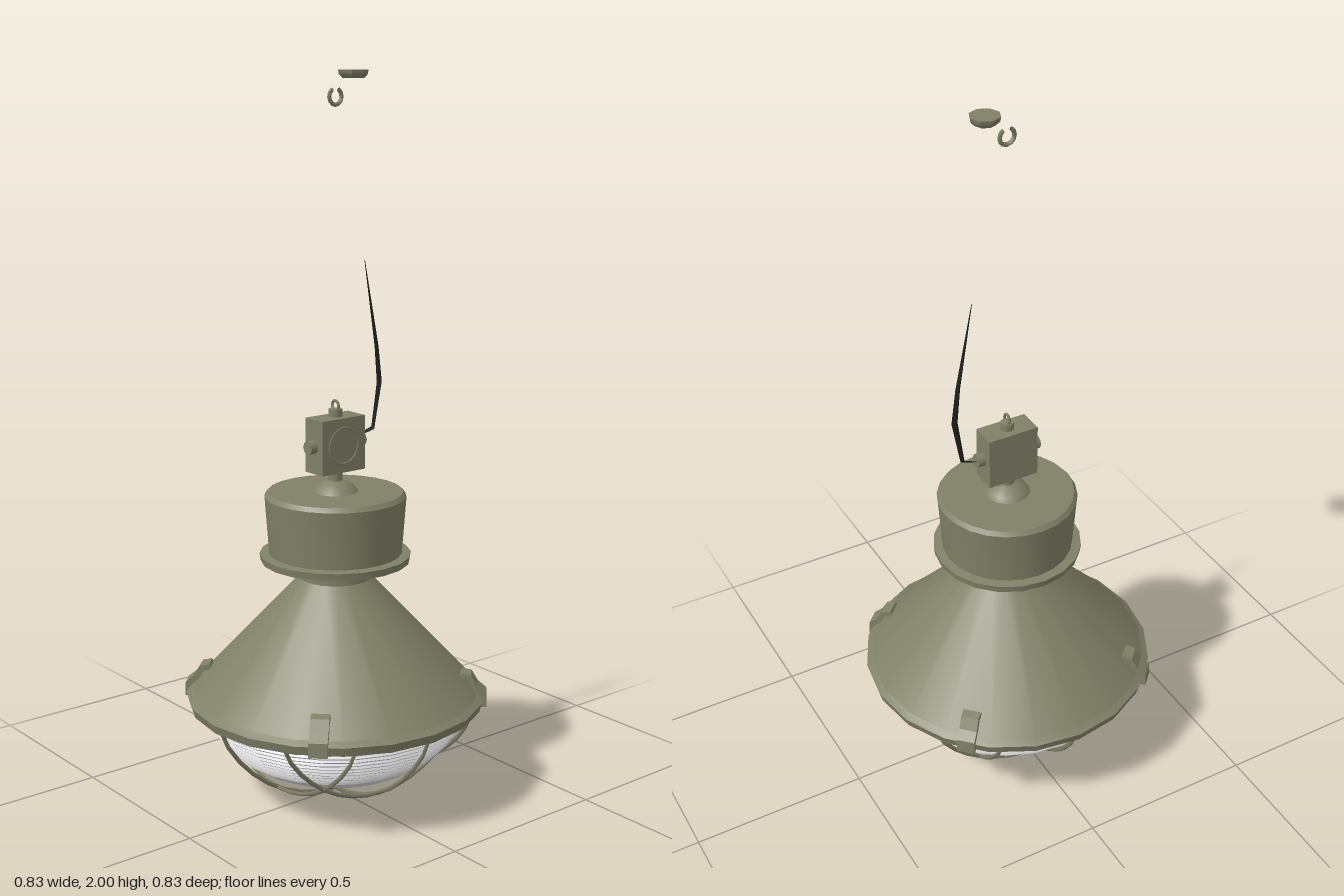
import * as THREE from 'three';
import { toCreasedNormals } from 'three/addons/utils/BufferGeometryUtils.js';

const mat = (name, color, side = THREE.FrontSide) => {
  const m = new THREE.MeshStandardMaterial({ color, side });
  m.name = name;
  return m;
};

export function createModel() {
  const root = new THREE.Group();
  root.name = 'industrialPendantLamp';
  const olive = mat('olive paint', 0x808168, THREE.DoubleSide);
  const glass = mat('pale glass', 0xd8d8da, THREE.DoubleSide);
  const black = mat('black cable', 0x1c1c1a, THREE.DoubleSide);

  const add = (name, geo, material, x = 0, y = 0, z = 0, parent = root) => {
    const mesh = new THREE.Mesh(geo, material);
    mesh.name = name;
    mesh.position.set(x, y, z);
    parent.add(mesh);
    return mesh;
  };
  const lathe = (pts, seg = 24) => toCreasedNormals(
    new THREE.LatheGeometry(pts.map(p => new THREE.Vector2(...p)), seg), 0.6);

  // Conical reflector with its neck and rim
  add('shade', lathe([[0.4, 0.312], [0.1, 0.635]], 20), olive);
  add('neck', lathe([[0.1, 0.625], [0.1, 0.7]]), olive);
  add('rim', lathe([[0.37, 0.275], [0.41, 0.275], [0.417, 0.3], [0.4, 0.312]], 20), olive);

  // Gear housing with a flange and a recessed underside
  add('housing', lathe([[0.183, 0.7], [0.195, 0.865], [0.186, 0.877], [0, 0.877]]), olive);
  add('flange', lathe([[0.1, 0.7], [0.16, 0.7], [0.165, 0.683], [0.206, 0.683], [0.209, 0.703], [0.18, 0.706]], 20), olive);
  add('cap', lathe([[0.064, 0.876], [0.055, 0.89], [0.03, 0.904], [0.02, 0.908], [0.02, 0.94]], 14), olive);

  // Ribbed upper glass, smooth lower bowl
  const R = 0.365, top = 0.28, depth = 0.225;
  const radiusAt = y => R * Math.sqrt(Math.max(0, 1 - ((top - y) / depth) ** 2));
  const ribs = [], bowl = [];
  for (let i = 0; i <= 24; i++) {
    const y = 0.14 + i * 0.14 / 24;
    ribs.push([radiusAt(y) - (i % 2) * 0.006, y]);
  }
  for (let i = 0; i <= 8; i++) {
    const y = 0.055 + 0.085 * (i / 8) ** 2;
    bowl.push([radiusAt(y), y]);
  }
  add('glassRibs', lathe(ribs), glass);
  add('glassBowl', lathe(bowl), glass);

  // Guard: three bent wires in each direction
  const cage = new THREE.Group();
  cage.name = 'guardCage';
  root.add(cage);
  for (const turn of [0, Math.PI / 2]) {
    for (const off of [-0.205, 0, 0.205]) {
      const half = Math.sqrt(0.395 ** 2 - off ** 2);
      const pts = [];
      for (let i = 0; i <= 12; i++) {
        const u = -half * Math.cos(Math.PI * i / 12);
        const s = Math.max(0, 1 - (u * u + off * off) / 0.395 ** 2);
        pts.push(new THREE.Vector3(u, 0.282 - 0.276 * Math.pow(s, 0.75), off));
      }
      const geo = new THREE.TubeGeometry(new THREE.CatmullRomCurve3(pts), 16, 0.006, 4);
      add('guardWire', geo, olive, 0, 0, 0, cage).rotation.y = turn;
    }
  }

  // Four curved latches on the rim diagonals
  const clip = new THREE.Shape();
  [[0.345, 0.355], [0.355, 0.37], [0.38, 0.365], [0.398, 0.335], [0.422, 0.315],
    [0.424, 0.275], [0.408, 0.275], [0.408, 0.305], [0.385, 0.325], [0.37, 0.352]].forEach(
    ([x, y], i) => (i ? clip.lineTo(x, y) : clip.moveTo(x, y)));
  const clipGeo = new THREE.ExtrudeGeometry(clip, { depth: 0.05, bevelEnabled: false });
  clipGeo.translate(0, 0, -0.025);
  for (let i = 0; i < 4; i++) {
    add('latch', clipGeo, olive).rotation.y = Math.PI / 4 + i * Math.PI / 2;
  }

  // Junction box with side glands, a round cover and a hanging eye
  const box = new THREE.Group();
  box.name = 'junctionBox';
  box.position.y = 1.01;
  root.add(box);
  add('boxBody', new THREE.BoxGeometry(0.148, 0.15, 0.074), olive, 0, 0, 0, box);
  add('boxCover', new THREE.TorusGeometry(0.05, 0.003, 4, 16), olive, 0, 0, 0.037, box);
  for (let i = 0; i < 4; i++) {
    const arm = new THREE.Group();
    arm.name = 'gland';
    arm.rotation.z = i * Math.PI / 2;
    box.add(arm);
    add('glandNut', new THREE.CylinderGeometry(0.019, 0.019, 0.024, 8), olive, 0, 0.084, 0, arm);
  }
  add('hangingEye', new THREE.TorusGeometry(0.014, 0.004, 5, 10), olive, 0, 0.105, 0, box).rotation.y = Math.PI / 2;

  // Tapering feed cable: diamond cross-sections along a bent path
  const path = [[0.105, 1.02, 0.004], [0.143, 1.032, 0.006], [0.163, 1.16, 0.009], [0.15, 1.26, 0.007], [0.104, 1.5, 0.001]];
  const pos = [], idx = [];
  path.forEach(([x, y, w], i) => {
    const z = -0.015 + 0.012 * i / 4;
    pos.push(x - w, y, z, x, y - w / 2, z + w, x + w, y, z, x, y + w / 2, z - w);
    if (i) for (let k = 0; k < 4; k++) {
      const a = (i - 1) * 4 + k, b = (i - 1) * 4 + (k + 1) % 4;
      idx.push(a, b, a + 4, b, b + 4, a + 4);
    }
  });
  const cable = new THREE.BufferGeometry();
  cable.setAttribute('position', new THREE.Float32BufferAttribute(pos, 3));
  cable.setIndex(idx);
  add('cable', toCreasedNormals(cable, 0.4), black);

  // Ceiling fixings: cable rose and open hook
  add('ceilingRose', lathe([[0, 1.978], [0.028, 1.978], [0.038, 1.988], [0.04, 2], [0, 2]], 8), olive, 0.06, 0, 0);
  add('ceilingHook', new THREE.TorusGeometry(0.021, 0.006, 5, 10, Math.PI * 1.65), olive, 0, 1.932, 0).rotation.z = Math.PI * 0.675;

  return root;
}
